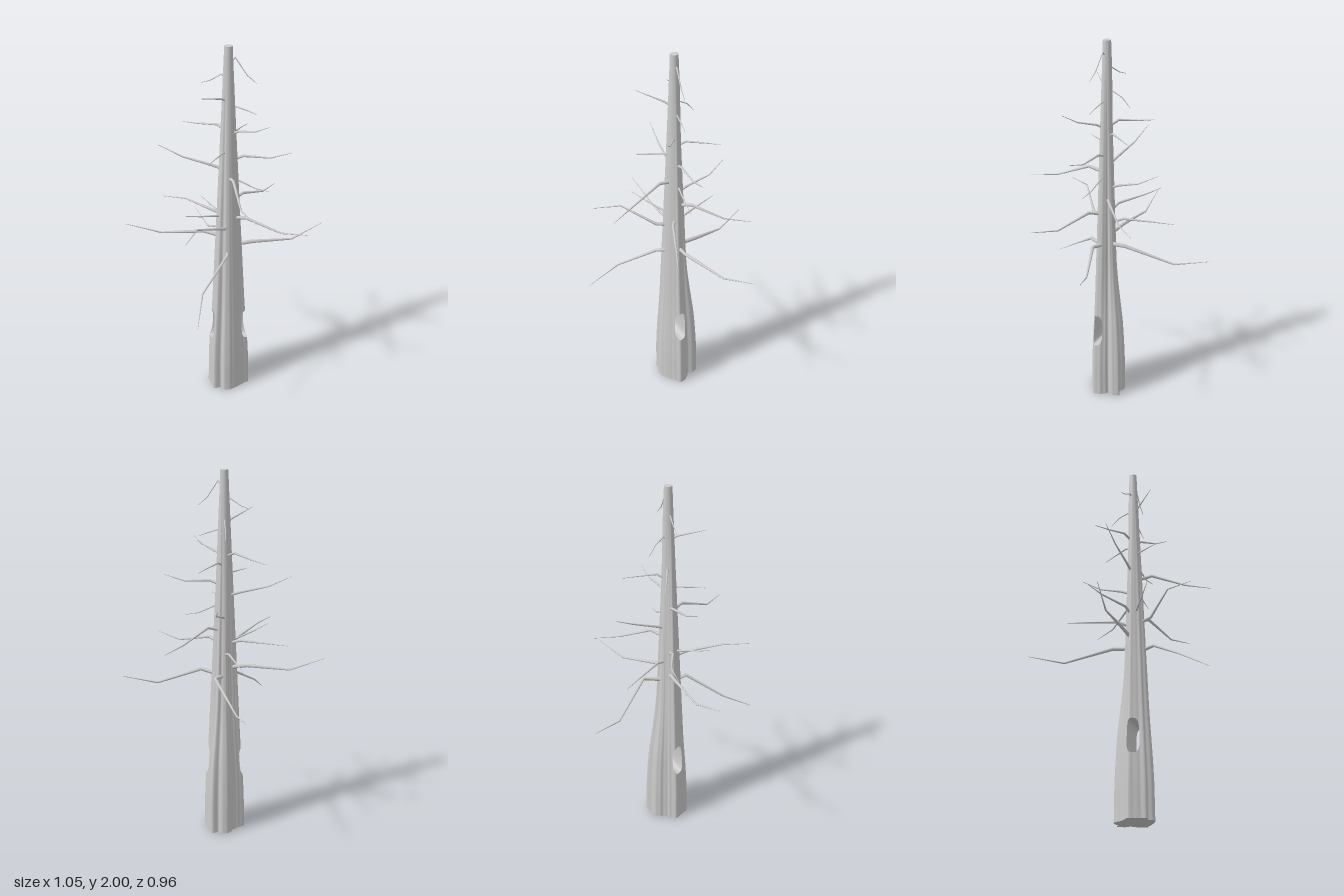
import * as THREE from 'three';

const CX = 0.012, CZ = 0.04, H = 2, MEAN = 0.1, TAU = Math.PI * 2;
const { smoothstep, lerp, degToRad } = THREE.MathUtils;
const material = new THREE.MeshStandardMaterial({ color: 0xcccccc });
const doubleSided = new THREE.MeshStandardMaterial({ color: 0xcccccc, side: THREE.DoubleSide });

// Radii of the root outline, evenly spaced from +x towards +z
const LOBES = [.108, .119, .1, .092, .092, .095, .103, .107, .09, .121, .108, .107,
  .113, .09, .078, .078, .09, .1, .101, .092, .121, .108, .08, .092];

function lobeRadius(angle) {
  const n = LOBES.length, s = ((angle / TAU) % 1 + 1) % 1 * n, i = Math.floor(s);
  return lerp(LOBES[i % n], LOBES[(i + 1) % n], smoothstep(s - i, 0, 1));
}

// Point on the bark: lobed and slightly swollen at the foot, a small circle at the top
function bark(angle, y) {
  const t = y / H;
  const swell = 0.05 * smoothstep(y, 0, 0.2) * (1 - smoothstep(y, 0.25, 0.6));
  const squeeze = 0.3 * smoothstep(y, 0.4, 0.85) * (1 - smoothstep(y, 1.5, 2)) * Math.max(0, -Math.sin(angle));
  const r = lerp(lobeRadius(angle), MEAN, t * t) * (1 - 0.8 * t + swell) * (1 - squeeze);
  return new THREE.Vector3(CX + r * Math.cos(angle), y, CZ + r * Math.sin(angle));
}

function meshFrom(name, positions, indices, mat = material) {
  const g = new THREE.BufferGeometry();
  g.setAttribute('position', new THREE.Float32BufferAttribute(positions, 3));
  g.setIndex(indices);
  g.computeVertexNormals();
  const mesh = new THREE.Mesh(g, mat);
  mesh.name = name;
  return mesh;
}

// Rounded slot passing through the trunk from side to side
const HOLE_Y = 0.41, HOLE_H = 0.09, HOLE_A = 0.36;
const HOLES = [0.21, Math.PI - 0.21];
const SEG = 144;
const slotNorm = (u, v) => Math.cbrt(Math.abs(u) ** 3 + Math.abs(v) ** 3);

function makeTrunk() {
  const rows = [];
  for (let y = 0; y < 0.29; y += 0.05) rows.push(y);
  for (let y = 0.3; y < 0.525; y += 0.01) rows.push(y);
  for (let y = 0.56; y < 1.99; y += 0.06) rows.push(y);
  rows.push(H);
  const pos = [], idx = [], inside = [];
  for (const rowY of rows) {
    for (let j = 0; j < SEG; j++) {
      let a = (j / SEG) * TAU, y = rowY, hit = false;
      for (const c of HOLES) {
        // push vertices within the slot out to its rim
        const u = (a - c > Math.PI ? a - c - TAU : a - c) / HOLE_A;
        const v = (y - HOLE_Y) / HOLE_H, d = slotNorm(u, v);
        if (d < 1) {
          const k = 1 / Math.max(d, 1e-4);
          hit = true;
          a = c + u * k * HOLE_A;
          y = HOLE_Y + v * k * HOLE_H;
          break;
        }
      }
      inside.push(hit);
      pos.push(...bark(a, y).toArray());
    }
  }
  for (let i = 0; i < rows.length - 1; i++) {
    for (let j = 0; j < SEG; j++) {
      const a = i * SEG + j, b = i * SEG + (j + 1) % SEG, c = a + SEG, d = b + SEG;
      if (inside[a] && inside[b] && inside[c] && inside[d]) continue;
      idx.push(a, c, d, a, d, b);
    }
  }
  return meshFrom('trunk', pos, idx);
}

function makeHollow() {
  const N = 64, pos = [], idx = [];
  for (let i = 0; i <= N; i++) {
    const c = Math.cos((i / N) * TAU), s = Math.sin((i / N) * TAU), k = 1 / slotNorm(c, s);
    const u = HOLE_A * c * k, y = HOLE_Y + HOLE_H * s * k;
    pos.push(...bark(HOLES[0] + u, y).toArray(), ...bark(HOLES[1] - u, y).toArray());
    if (i < N) idx.push(2 * i, 2 * i + 1, 2 * i + 3, 2 * i, 2 * i + 3, 2 * i + 2);
  }
  return meshFrom('hollow', pos, idx, doubleSided);
}

function makeCap(name, y, up) {
  const pos = [CX, y, CZ], idx = [];
  for (let j = 0; j < SEG; j++) {
    pos.push(...bark((j / SEG) * TAU, y).toArray());
    const a = 1 + j, b = 1 + (j + 1) % SEG;
    idx.push(0, ...(up ? [b, a] : [a, b]));
  }
  return meshFrom(name, pos, idx);
}

// Six-sided tube tapering to a thin tip along a few points
function makeTaper(name, pts, radius) {
  const SIDES = 6, up = new THREE.Vector3(0, 1, 0), pos = [], idx = [];
  const lengths = [0];
  for (let i = 1; i < pts.length; i++) lengths.push(lengths[i - 1] + pts[i].distanceTo(pts[i - 1]));
  pts.forEach((p, i) => {
    const tangent = new THREE.Vector3();
    if (i > 0) tangent.add(p.clone().sub(pts[i - 1]).normalize());
    if (i < pts.length - 1) tangent.add(pts[i + 1].clone().sub(p).normalize());
    tangent.normalize();
    const n = new THREE.Vector3().crossVectors(tangent, up).normalize();
    const b = new THREE.Vector3().crossVectors(tangent, n);
    const r = lerp(radius, 0.0012, lengths[i] / lengths[pts.length - 1]);
    for (let j = 0; j < SIDES; j++) {
      const t = (j / SIDES) * TAU;
      pos.push(...p.clone().addScaledVector(n, r * Math.cos(t)).addScaledVector(b, r * Math.sin(t)).toArray());
      if (i < pts.length - 1) {
        const k = i * SIDES + j, l = i * SIDES + (j + 1) % SIDES;
        idx.push(k, l, l + SIDES, k, l + SIDES, k + SIDES);
      }
    }
  });
  return meshFrom(name, pos, idx);
}

// Branches: heights of the two kinks, tip x, y, z, then the kinks' sideways turns in degrees
const BRANCHES = [
  [.91, .79, -.16, .69, .475, -15, 6],
  [.94, .83, -.16, .86, -.48, 33, 2],
  [.94, .89, .53, .945, -.114, 23, 3],
  [.985, .975, -.52, 1.04, .017, 10, 4],
  [1.11, 1.06, .41, 1.085, .25, 7],
  [1.07, 1.145, -.21, 1.14, .405, -19, 4],
  [1.06, 1.05, -.128, 1.04, -.28],
  [1.195, 1.135, .28, 1.12, -.254, 14, 5],
  [1.12, 1.14, -.33, 1.14, -.1, -10, 4],
  [1.11, 1.14, -.21, 1.17, .177],
  [1.34, 1.27, .13, 1.265, .445, 4, 6],
  [1.3, 1.255, .22, 1.24, .065],
  [1.26, 1.3, .01, 1.355, -.254, 0, 6],
  [1.38, 1.42, -.335, 1.48, -.006],
  [1.435, 1.425, .33, 1.455, .063],
  [1.47, 1.468, -.09, 1.465, .2],
  [1.54, 1.53, .12, 1.52, -.157],
  [1.58, 1.605, .205, 1.65, .185],
  [1.59, 1.57, -.215, 1.56, -.108],
  [1.7, 1.68, .15, 1.66, .06],
  [1.75, 1.72, -.01, 1.67, -.08],
  [1.75, 1.775, -.12, 1.795, .18],
  [1.86, 1.825, -.12, 1.81, .01],
  [1.945, 1.86, .145, 1.82, .06],
];

function makeBranch([stubY, runY, x, y, z, stubTurn = 0, runTurn = 0]) {
  const angle = Math.atan2(z - CZ, x - CX), reach = Math.hypot(x - CX, z - CZ);
  const around = (turn, distance, height) => {
    const a = angle + degToRad(turn);
    return new THREE.Vector3(CX + distance * Math.cos(a), height, CZ + distance * Math.sin(a));
  };
  // root inside the trunk, a short stub, a long run and a thin end
  return makeTaper('branch', [
    around(stubTurn, 0.01, stubY - 0.025),
    around(stubTurn, 0.24 * reach, stubY),
    around(runTurn, 0.66 * reach, runY),
    new THREE.Vector3(x, y, z),
  ], 0.003 + 0.016 * reach);
}

export function createModel() {
  const model = new THREE.Group();
  model.name = 'deadTree';
  model.add(makeTrunk(), makeHollow(), makeCap('trunkTop', H, true), makeCap('trunkBase', 0, false));
  const branches = new THREE.Group();
  branches.name = 'branches';
  branches.add(...BRANCHES.map(makeBranch));
  model.add(branches);
  return model;
}
